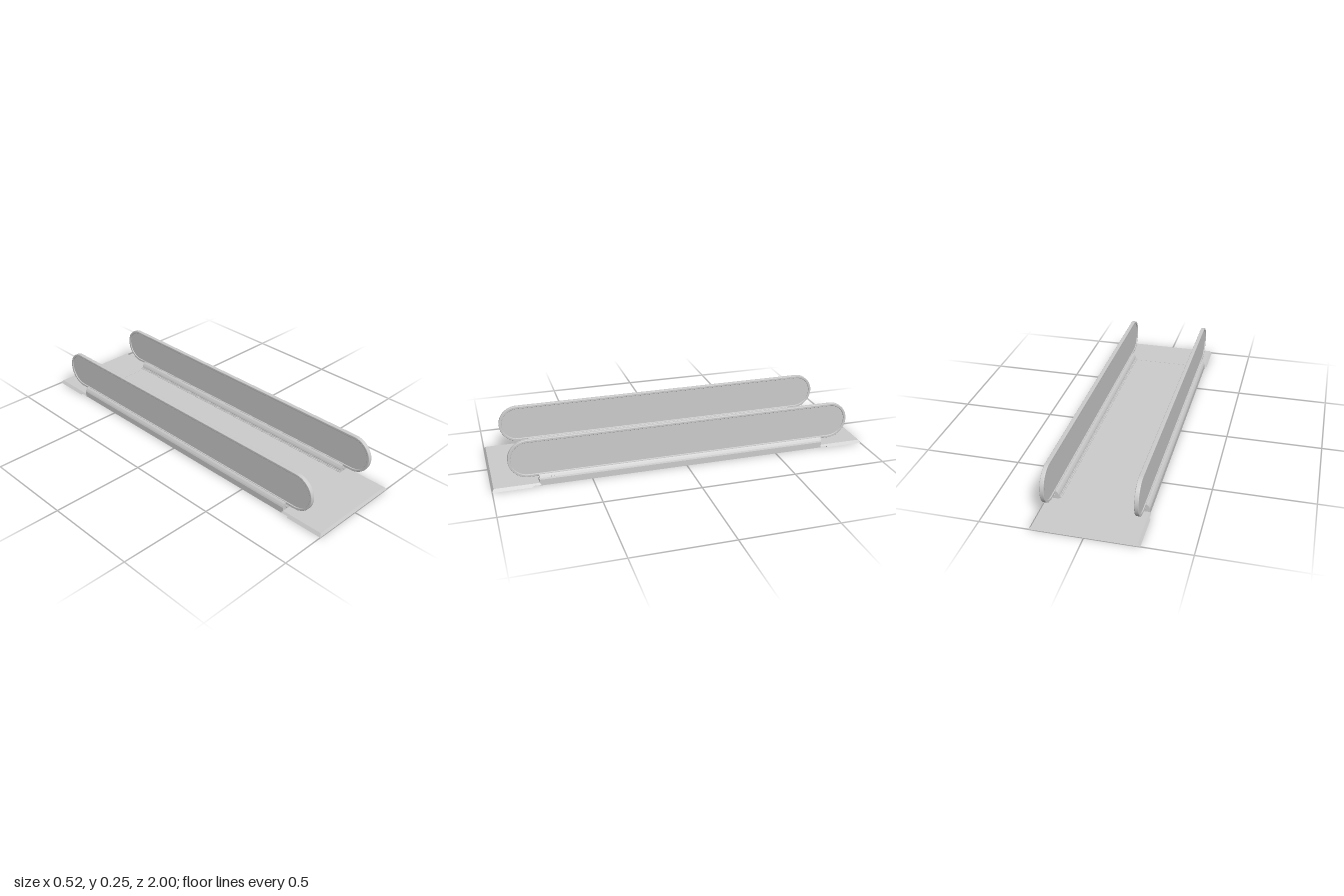
import * as THREE from 'three';

const grey = new THREE.MeshStandardMaterial({ color: 0xcccccc, side: THREE.DoubleSide });
const RAIL_X = 0.22, SKIRT_END = 0.765;

function add(parent, name, geometry, x = 0, y = 0, z = 0) {
  const mesh = new THREE.Mesh(geometry, grey);
  mesh.name = name;
  mesh.position.set(x, y, z);
  parent.add(mesh);
  return mesh;
}

// Flat slab whose top edge is drawn in at the sides and at the +z end
function taperedSlab(width, height, depth, insetX, insetZ) {
  const g = new THREE.BoxGeometry(width, height, depth);
  const p = g.attributes.position;
  for (let i = 0; i < p.count; i++) {
    if (p.getY(i) < 0) continue;
    p.setX(i, p.getX(i) - Math.sign(p.getX(i)) * insetX);
    if (p.getZ(i) > 0) p.setZ(i, p.getZ(i) - insetZ);
  }
  g.computeVertexNormals();
  return g;
}

// Long outline with round ends, drawn in z (as shape x) and y
function stadium(Type, halfLength, radius) {
  const c = halfLength - radius;
  const path = new Type();
  path.moveTo(-c, -radius);
  path.lineTo(c, -radius);
  path.absarc(c, 0, radius, -Math.PI / 2, Math.PI / 2, false);
  path.lineTo(-c, radius);
  path.absarc(-c, 0, radius, Math.PI / 2, Math.PI * 1.5, false);
  return path;
}

function extrudeCentred(shape, depth, bevel = 0) {
  const g = new THREE.ExtrudeGeometry(shape, {
    depth: depth - 2 * bevel, curveSegments: 24, bevelEnabled: bevel > 0,
    bevelThickness: bevel, bevelSize: bevel, bevelOffset: -bevel, bevelSegments: 3,
  });
  return g.translate(0, 0, -depth / 2 + bevel);
}

// Half of the skirt section, from the foot to the shoulder; t is the wall offset
const skirtHalf = (t) => [[0.03 - t, 0], [0.03 - t, 0.032 - t / 2], [0.027 - t, 0.04 - t / 2],
  [0.021 - t, 0.05 - t], [0.016 - t, 0.055 - t]];

function skirtLoop(t) {
  const half = skirtHalf(t);
  return [...half, ...half.map(([x, y]) => [-x, y]).reverse()].map(([x, y]) => new THREE.Vector2(x, y));
}

function createSide(sign) {
  const side = new THREE.Group();
  side.name = sign > 0 ? 'leftBalustrade' : 'rightBalustrade';
  side.position.x = sign * RAIL_X;

  // Handrail loop and the panel inside it
  const rail = stadium(THREE.Shape, 0.912, 0.1);
  rail.holes.push(stadium(THREE.Path, 0.898, 0.086));
  add(side, 'handrail', extrudeCentred(rail, 0.021, 0.003).rotateY(Math.PI / 2), 0, 0.145, 0);
  add(side, 'panel', extrudeCentred(stadium(THREE.Shape, 0.9, 0.088), 0.012).rotateY(Math.PI / 2), 0, 0.145, 0);

  // Hollow skirt, open underneath, with closed ends
  const shell = new THREE.Shape([...skirtLoop(0), ...skirtLoop(0.003).reverse()]);
  add(side, 'skirt', extrudeCentred(shell, SKIRT_END * 2));
  for (const end of [1, -1]) {
    add(side, 'skirtEnd', extrudeCentred(new THREE.Shape(skirtLoop(0)), 0.004), 0, 0, end * (SKIRT_END - 0.002));
    add(side, 'handrailInlet', new THREE.CylinderGeometry(0.01, 0.01, 0.006, 24).rotateX(Math.PI / 2),
      0, 0.029, end * (SKIRT_END + 0.001));
  }

  // Safety brush along the inner side
  add(side, 'brushHolder', new THREE.BoxGeometry(0.005, 0.008, SKIRT_END * 2), -sign * 0.032, 0.024, 0);
  add(side, 'brush', new THREE.BoxGeometry(0.008, 0.002, SKIRT_END * 2), -sign * 0.037, 0.024, 0);
  return side;
}

export function createModel() {
  const model = new THREE.Group();
  model.name = 'movingWalkway';

  add(model, 'belt', new THREE.BoxGeometry(0.39, 0.006, 1.54), 0, 0.011, 0);

  // Landing at each end, with a thinner comb plate toward the belt
  for (const end of [1, -1]) {
    const landing = new THREE.Group();
    landing.name = end > 0 ? 'frontLanding' : 'backLanding';
    landing.rotation.y = end > 0 ? 0 : Math.PI;
    add(landing, 'landingPlate', taperedSlab(0.52, 0.015, 0.2, 0.012, 0.008), 0, 0.0075, 0.9);
    add(landing, 'combPlate', taperedSlab(0.51, 0.009, 0.04, 0.007, 0), 0, 0.0105, 0.78);
    model.add(landing);
  }

  for (const sign of [1, -1]) model.add(createSide(sign));

  // Control buttons on the outer shoulder of the left skirt
  for (let i = 0; i < 3; i++) {
    const button = add(model, 'controlButton', new THREE.CylinderGeometry(0.005, 0.005, 0.005, 16),
      RAIL_X + 0.0245, 0.045, 0.67 + i * 0.016);
    button.rotation.z = -Math.PI / 3;
  }
  return model;
}
